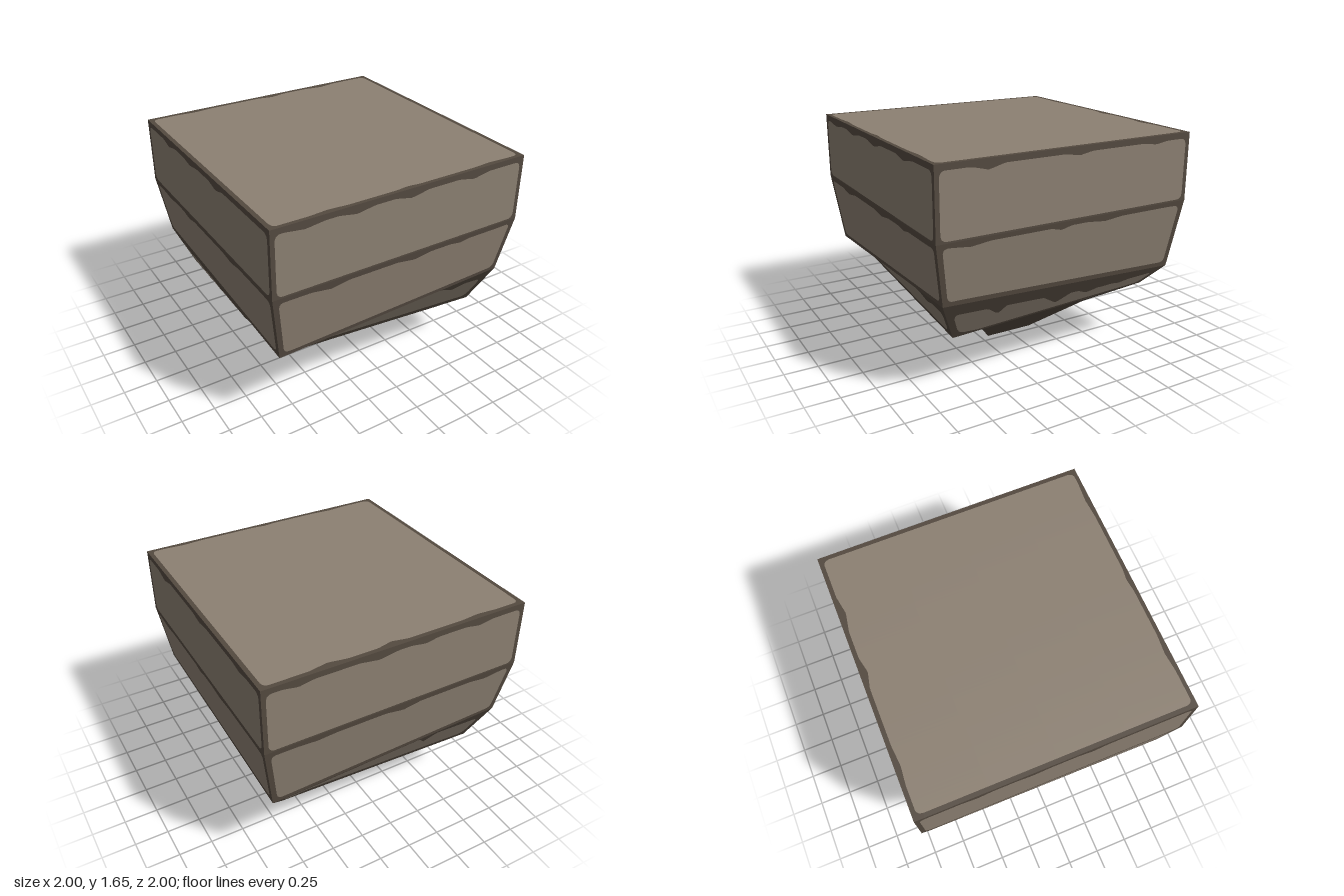
import * as THREE from 'three';

const V = (x, y, z) => new THREE.Vector3(x, y, z);
const lerp = THREE.MathUtils.lerp;

export function createModel() {
  const group = new THREE.Group();
  group.name = 'rockBlock';
  const stone = new THREE.MeshStandardMaterial({ color: 0x8c8072 });
  stone.name = 'pale stone';
  const seam = new THREE.MeshStandardMaterial({ color: 0x544a40 });
  seam.name = 'dark seam';

  let seed = 7;
  const rand = () => (seed = (seed * 16807) % 2147483647) / 2147483647;

  // Rings of four corners: front left on screen, front right, back right, back left
  const ring = (s, ys) => [[-s, s], [s, s], [s, -s], [-s, -s]].map(([x, z], i) => V(x, ys[i], z));
  const rings = [
    ring(1, [1.65, 1.65, 1.65, 1.65]),
    ring(1, [1.15, 1.15, 1.15, 1.15]),
    ring(0.93, [0.63, 0.7, 0.63, 0.7]),
    ring(0.8, [0.53, 0.4, 0.47, 0.4]),
    ring(0.5, [0.27, 0.37, 0.27, 0.37]),
    ring(0.19, [0.08, 0, 0, 0.08]),
  ];

  // Chipped edge: flat with a few shallow dips
  function chips(depth) {
    const dips = [];
    for (let c = 0.12 + rand() * 0.1; c < 0.9; c += 0.14 + rand() * 0.22) {
      dips.push([c, 0.04 + rand() * 0.035, depth * (0.4 + 0.6 * rand())]);
    }
    return u => Math.max(0, ...dips.map(([c, w, d]) => d * Math.max(0, 1 - Math.abs(u - c) / w)));
  }

  // One face: a dark frame with an inset pale panel, both on the same surface.
  // Corners are top left, top right, bottom left, bottom right seen from outside.
  function addFace(name, tl, tr, bl, br, o) {
    const normal = br.clone().sub(tl).cross(tr.clone().sub(bl)).normalize();
    const point = (u, v) => {
      const x = lerp(lerp(tl.x, tr.x, u), lerp(bl.x, br.x, u), v);
      const z = lerp(lerp(tl.z, tr.z, u), lerp(bl.z, br.z, u), v);
      const y = u + v <= 1
        ? tl.y + u * (tr.y - tl.y) + v * (bl.y - tl.y)
        : br.y + (1 - u) * (bl.y - br.y) + (1 - v) * (tr.y - br.y);
      return [x, y, z];
    };
    const parts = { Frame: [], Panel: [] };
    const quad = (part, u0, u1, a0, b0, a1, b1) => {
      const A = point(u0, a0), B = point(u0, b0), C = point(u1, a1), D = point(u1, b1);
      parts[part].push(...A, ...B, ...C, ...B, ...D, ...C);
    };

    if (!o) {
      for (let i = 0; i < 12; i++) {
        for (let j = 0; j < 12; j++) {
          quad('Frame', i / 12, (i + 1) / 12, j / 12, (j + 1) / 12, j / 12, (j + 1) / 12);
        }
      }
    } else {
      const topChips = chips(o.chip), bottomChips = chips(o.lowChip || 0);
      const { side, top, bottom, round } = o;
      // Rounded panel corners
      const corner = u => {
        const e = Math.min(u - side, 1 - side - u) / round;
        return e >= 1 ? 0 : o.corner * (1 - Math.sqrt(Math.max(0, 1 - (1 - e) ** 2)));
      };
      const us = [];
      for (let i = 0; i <= 6; i++) us.push(side + round * i / 6);
      for (let i = 1; i < 70; i++) us.push(lerp(side + round, 1 - side - round, i / 70));
      for (let i = 6; i >= 0; i--) us.push(1 - side - round * i / 6);
      const hi = u => top + topChips(u) + corner(u);
      const lo = u => 1 - bottom - bottomChips(u) - corner(u);
      // Side strips share the panel's end heights
      for (const [u0, u1] of [[0, side], [1 - side, 1]]) {
        const cuts = [0, hi(side), lo(side), 1];
        for (let k = 0; k < 3; k++) quad('Frame', u0, u1, cuts[k], cuts[k + 1], cuts[k], cuts[k + 1]);
      }
      for (let i = 0; i < us.length - 1; i++) {
        const a = us[i], b = us[i + 1];
        quad('Frame', a, b, 0, hi(a), 0, hi(b));
        for (let k = 0; k < 4; k++) {
          const h = (u, t) => lerp(hi(u), lo(u), t / 4);
          quad('Panel', a, b, h(a, k), h(a, k + 1), h(b, k), h(b, k + 1));
        }
        quad('Frame', a, b, lo(a), 1, lo(b), 1);
      }
    }

    for (const [part, pos] of Object.entries(parts)) {
      if (!pos.length) continue;
      const geo = new THREE.BufferGeometry();
      geo.setAttribute('position', new THREE.Float32BufferAttribute(pos, 3));
      const normals = pos.map((_, i) => normal.getComponent(i % 3));
      geo.setAttribute('normal', new THREE.Float32BufferAttribute(normals, 3));
      const mesh = new THREE.Mesh(geo, part === 'Panel' ? stone : seam);
      mesh.name = name + part;
      group.add(mesh);
    }
  }

  // Panel margins for each course, as fractions of the face
  const courses = [
    { name: 'upperCourse', side: 0.016, top: 0.085, bottom: 0.025, chip: 0.065, round: 0.022, corner: 0.08 },
    { name: 'middleCourse', side: 0.02, top: 0.075, bottom: 0.065, chip: 0.05, round: 0.02, corner: 0.07 },
    { name: 'lowerCourse', side: 0.03, top: 0.3, bottom: 0.12, chip: 0.24, round: 0.025, corner: 0.14 },
    { name: 'underCourse', side: 0.05, top: 0.17, bottom: 0.04, chip: 0.12, round: 0.03, corner: 0.1 },
    { name: 'tip' },
  ];
  const sides = ['Front', 'Right', 'Back', 'Left'];
  courses.forEach((course, r) => {
    sides.forEach((label, i) => {
      const j = (i + 1) % 4, t = rings[r], b = rings[r + 1];
      addFace(course.name + label, t[i], t[j], b[i], b[j], course.side ? course : null);
    });
  });

  // Top slab and the small underside facet
  const [fl, fr, bk, bl] = rings[0];
  addFace('top', bl, bk, fl, fr,
    { side: 0.016, top: 0.016, bottom: 0.014, chip: 0.014, lowChip: 0.012, round: 0.02, corner: 0.02 });
  const [ul, ur, ub, uk] = rings[5];
  addFace('underside', ul, ur, uk, ub,
    { side: 0.05, top: 0.05, bottom: 0.05, chip: 0, round: 0.08, corner: 0.08 });

  return group;
}
